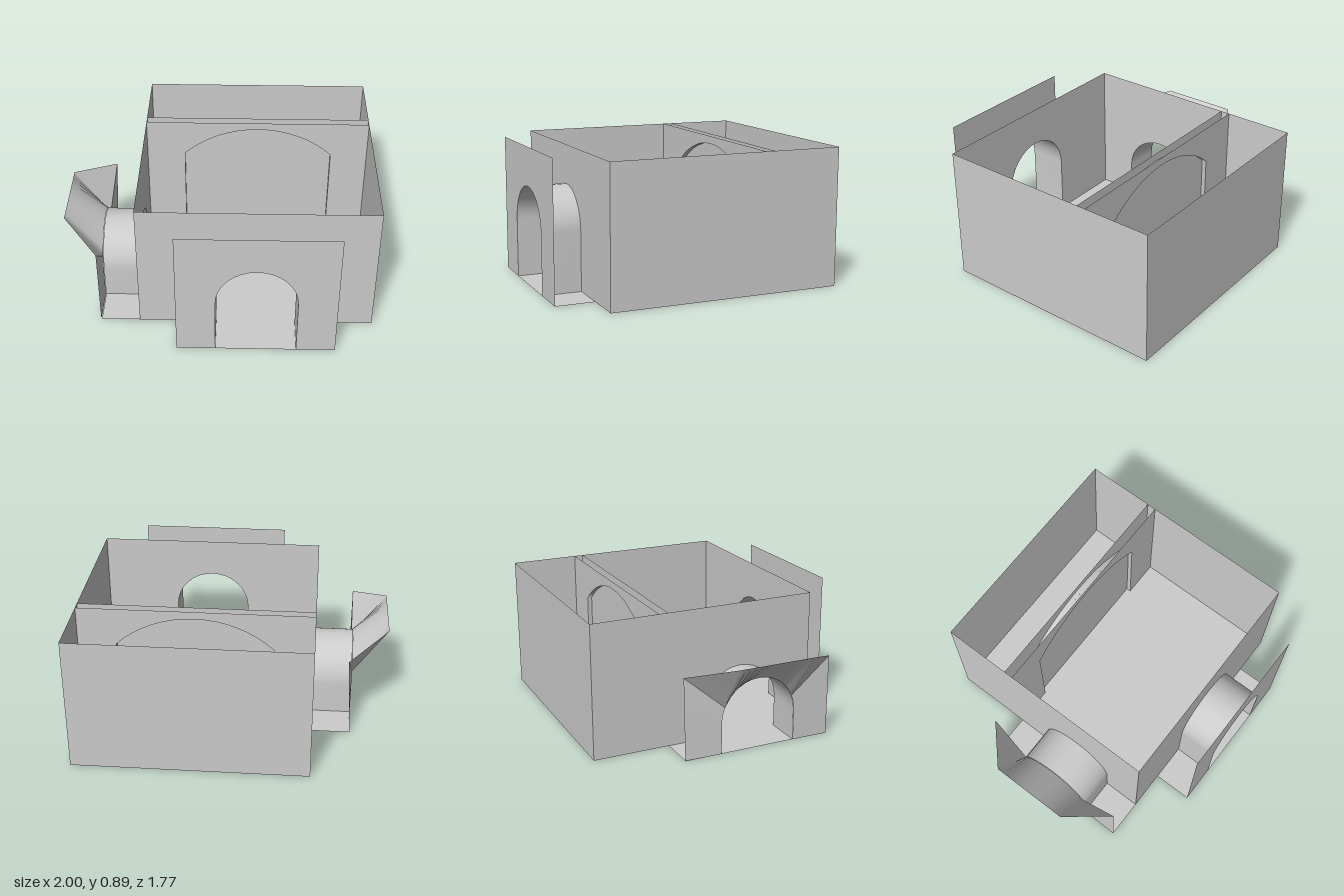
import * as THREE from 'three';

const material = new THREE.MeshStandardMaterial({ color: 0xcccccc, side: THREE.DoubleSide });

// Room bounds
const X0 = -0.52, X1 = 1, Z0 = -0.89, Z1 = 0.63, H = 0.89;

// Arch outline from right foot over the crown to left foot, as [u, y] points
function archPoints(center, half, spring, rise, segments = 16) {
  const r = (half * half + rise * rise) / (2 * rise);
  const sweep = Math.asin(Math.min(1, half / r));
  const pts = [[center + half, 0]];
  for (let i = 0; i <= segments; i++) {
    const a = sweep * (1 - (2 * i) / segments);
    pts.push([center + r * Math.sin(a), spring + rise - r + r * Math.cos(a)]);
  }
  pts.push([center - half, 0]);
  return pts;
}

// Flat wall from u0 to u1, notched by an arch when one is given
function wallGeometry(u0, u1, height, arch = []) {
  const outline = [[u0, 0], ...[...arch].reverse(), [u1, 0], [u1, height], [u0, height]];
  return new THREE.ShapeGeometry(new THREE.Shape(outline.map(p => new THREE.Vector2(...p))));
}

// Surface joining two rows of 3D points
function loft(a, b) {
  const index = [];
  const n = a.length;
  for (let i = 0; i < n - 1; i++) index.push(i, i + 1, n + i, i + 1, n + i + 1, n + i);
  const g = new THREE.BufferGeometry();
  g.setAttribute('position', new THREE.Float32BufferAttribute([...a, ...b].flat(), 3));
  g.setIndex(index);
  g.computeVertexNormals();
  return g;
}

export function createModel() {
  const group = new THREE.Group();
  const add = (name, geometry) => {
    const mesh = new THREE.Mesh(geometry, material);
    mesh.name = name;
    group.add(mesh);
    return mesh;
  };
  const wallZ = (name, z, u0, u1, height, arch) =>
    add(name, wallGeometry(u0, u1, height, arch).translate(0, 0, z));
  // Walls across x are drawn with u = z
  const wallX = (name, x, u0, u1, height, arch) =>
    add(name, wallGeometry(u0, u1, height, arch).rotateY(-Math.PI / 2).translate(x, 0, 0));
  const floor = (name, x0, x1, z0, z1) =>
    add(name, new THREE.PlaneGeometry(x1 - x0, z1 - z0).rotateX(-Math.PI / 2)
      .translate((x0 + x1) / 2, 0, (z0 + z1) / 2));

  const frontArch = archPoints(0.24, 0.257, 0.383, 0.257);
  const sideArch = archPoints(0.125, 0.257, 0.213, 0.257);
  const wideArch = archPoints(0.245, 0.505, 0.64, 0.2);

  // Floors
  floor('roomFloor', X0, X1, Z0, Z1);
  floor('frontPorchFloor', -0.265, 0.745, Z1, 0.885);
  floor('sidePorchFloor', -0.77, X0, -0.38, Z1);

  // Room walls
  wallZ('backWall', Z0, X0, X1, H);
  wallX('leftWall', X1, Z0, Z1, H);
  wallZ('frontWall', Z1, X0, X1, H, frontArch);
  wallX('rightWall', X0, Z0, Z1, H, sideArch);

  // Front porch: thin panel and the passage behind it
  wallZ('frontPorchPanel', 0.885, -0.265, 0.745, H, frontArch);
  add('frontPassage', loft(frontArch.map(([x, y]) => [x, y, Z1]), frontArch.map(([x, y]) => [x, y, 0.885])));

  // Partition with a wide arch and an infill in its middle
  for (const z of [-0.44, -0.38]) wallZ('partitionFace', z, X0, X1, H, wideArch);
  add('partitionArch', loft(wideArch.map(([x, y]) => [x, y, -0.44]), wideArch.map(([x, y]) => [x, y, -0.38])));
  const crown = x => 0.1025 + Math.sqrt(0.7375 ** 2 - (x - 0.245) ** 2);
  const sill = 0.255;
  add('infillBase', wallGeometry(-0.26, 0.75, sill).translate(0, 0, -0.41));
  for (const [x0, x1] of [[-0.26, 0.105], [0.105, 0.375], [0.375, 0.75]]) {
    const bottom = [], top = [];
    for (let i = 0; i <= 6; i++) {
      const x = x0 + ((x1 - x0) * i) / 6;
      bottom.push([x, sill, -0.41]);
      top.push([x, crown(x), -0.41]);
    }
    add('infillPanel', loft(bottom, top));
  }

  // Side passage
  add('sidePassage', loft(sideArch.map(([z, y]) => [X0, y, z]), sideArch.map(([z, y]) => [-0.77, y, z])));

  // Side porch panel: upright jambs whose top bends out into a raised canopy
  const inner = sideArch.map(([z, y]) => [-0.772, y, z]);
  const near = y => [-0.775, y, 0.63];
  const far = y => [-0.765 + 0.046 * y, y, -0.38];
  add('sidePorchJamb', loft(inner.slice(0, 4), [0, 0.25, 0.4, 0.54].map(near)));
  add('sidePorchJamb', loft(inner.slice(-4), [0.54, 0.4, 0.25, 0].map(far)));
  const arc = inner.slice(3, -3);
  const tips = arc.map((p, i) => [-1, 0.64, 0.38 - (0.51 * i) / (arc.length - 1)]);
  add('sidePorchCanopy', loft(
    [arc[0], ...arc, arc[arc.length - 1]],
    [near(0.54), ...tips, far(0.54)]));

  return group;
}
